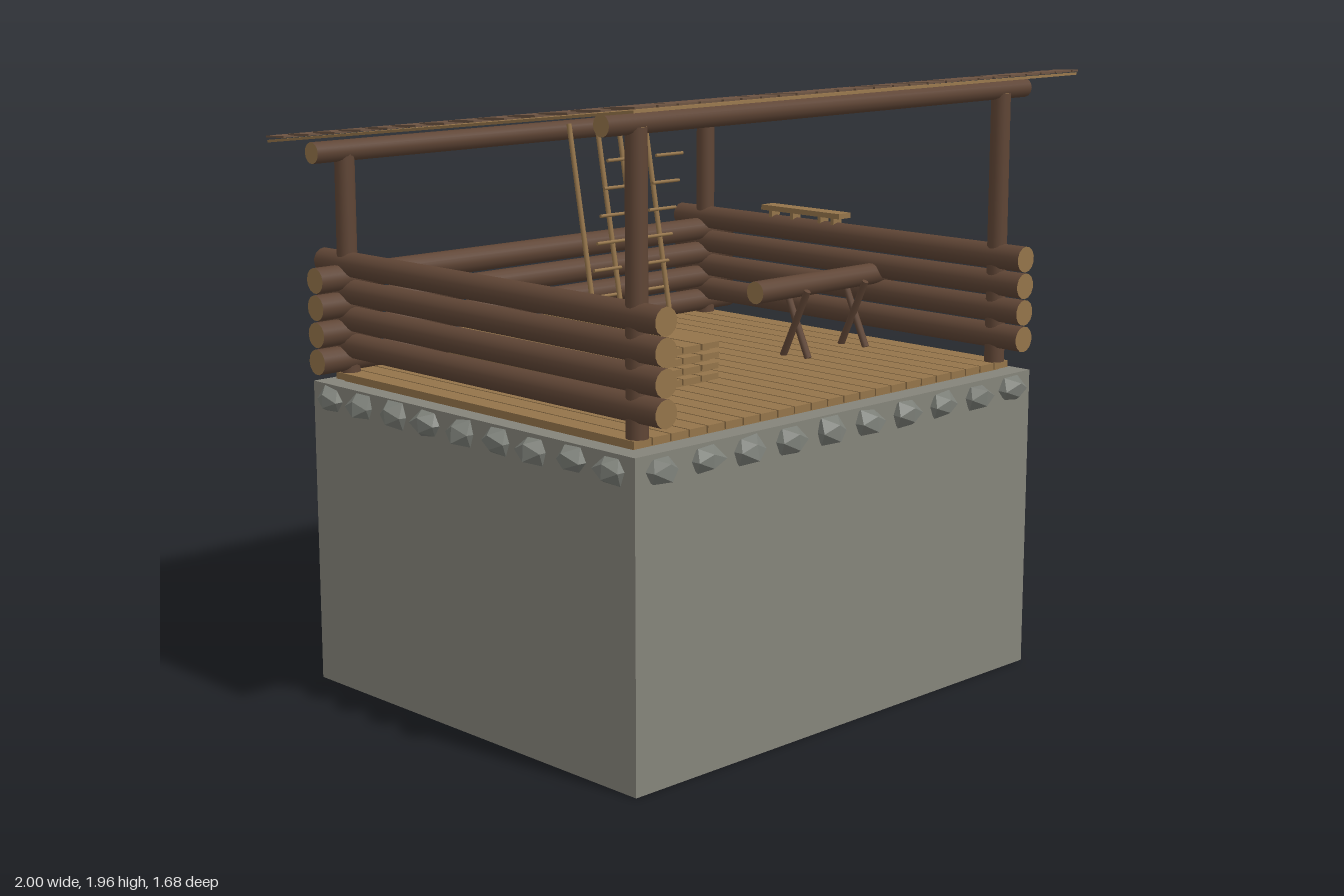
import * as THREE from 'three';

export function createModel() {
  const root = new THREE.Group();
  root.name = 'logShelter';
  const mat = (name, color, flat = false) => {
    const m = new THREE.MeshStandardMaterial({ color, flatShading: flat });
    m.name = name;
    return m;
  };
  const stone = mat('foundationStone', 0x85847a);
  const rock = mat('rockGrey', 0x7b7e77, true);
  const bark = mat('logBrown', 0x5f4535);
  const wood = mat('cutWood', 0x94744a);
  const shingleMat = mat('shingleBrown', 0x6c5341);

  let seed = 7;
  const rnd = () => (seed = (seed * 16807) % 2147483647) / 2147483647;
  const group = (name, parent = root) => {
    const g = new THREE.Group();
    g.name = name;
    parent.add(g);
    return g;
  };
  const box = (name, parent, m, size, pos) => {
    const b = new THREE.Mesh(new THREE.BoxGeometry(...size), m);
    b.name = name;
    b.position.set(...pos);
    parent.add(b);
    return b;
  };
  // Round pole between two points, with its own material on the cut ends
  const pole = (name, parent, a, b, r, side = bark, ends = wood, sides = 14) => {
    const p = new THREE.Vector3(...a), q = new THREE.Vector3(...b);
    const geo = new THREE.CylinderGeometry(r * 0.96, r, p.distanceTo(q), sides);
    const m = new THREE.Mesh(geo, [side, ends, ends]);
    m.name = name;
    m.position.copy(p).add(q).multiplyScalar(0.5);
    m.quaternion.setFromUnitVectors(new THREE.Vector3(0, 1, 0), q.sub(p).normalize());
    parent.add(m);
    return m;
  };

  // Foundation block
  box('foundation', root, stone, [1.77, 0.99, 1.49], [-0.03, 0.495, 0]);

  // Ring of rocks around the top of the foundation
  const rocks = group('rocks');
  const addRock = (x, z, turn) => {
    const geo = new THREE.IcosahedronGeometry(1, 0);
    const p = geo.attributes.position;
    const moved = {};
    for (let i = 0; i < p.count; i++) {
      const key = [p.getX(i), p.getY(i), p.getZ(i)].map(v => v.toFixed(2)).join();
      const s = moved[key] ??= 0.85 + rnd() * 0.3;
      p.setXYZ(i, p.getX(i) * s * 0.06, p.getY(i) * s * 0.045, p.getZ(i) * s * 0.05);
    }
    geo.computeVertexNormals();
    const m = new THREE.Mesh(geo, rock);
    m.name = 'rock';
    m.position.set(x, 0.942, z);
    m.rotation.y = turn;
    rocks.add(m);
  };
  for (const s of [-1, 1]) {
    for (let i = 0; i < 10; i++) addRock(-0.82 + i * 0.1745, s * 0.75, 0);
    for (let i = 0; i < 9; i++) addRock(-0.03 + s * 0.885, -0.65 + i * 0.1625, Math.PI / 2);
  }

  // Floor planks running front to back
  const floor = group('floor');
  for (let i = 0; i < 23; i++)
    box('floorPlank', floor, wood, [0.067, 0.022, 1.38], [-0.833 + i * 0.0731, 1.009, 0]);
  box('floorJoists', floor, wood, [1.64, 0.008, 1.34], [-0.03, 0.994, 0]);

  // Log walls on the two sides and the back
  const walls = group('walls');
  for (let i = 0; i < 4; i++) {
    const dy = i * 0.0865;
    pole('backLog', walls, [-0.955, 1.065 + dy, -0.668], [0.89, 1.065 + dy, -0.668], 0.041);
    for (const x of [-0.83, 0.77])
      pole('sideLog', walls, [x, 1.106 + dy, 0.782], [x, 1.106 + dy, -0.787], 0.042);
  }

  // Posts and roof beams
  const frame = group('frame');
  for (const x of [-0.83, 0.77]) {
    pole('frontPost', frame, [x, 1.02, 0.665], [x, 1.89, 0.665], 0.033);
    pole('backPost', frame, [x, 1.02, -0.665], [x, 1.72, -0.665], 0.033);
  }
  pole('frontBeam', frame, [-0.955, 1.9, 0.66], [0.895, 1.9, 0.66], 0.032);
  pole('backBeam', frame, [-0.955, 1.725, -0.665], [0.895, 1.725, -0.665], 0.034);

  // Sloped roof: a board deck with overlapping rows of shingles
  const roof = group('roof');
  roof.position.set(0, 1.858, 0);
  roof.rotation.x = -Math.atan2(0.2, 1.68);
  box('roofDeck', roof, wood, [1.935, 0.008, 1.68], [-0.0325, -0.006, 0]);
  const rows = 25, pitch = 0.0644;
  for (let r = 0; r < rows; r++) {
    const row = group('shingleRow', roof);
    const z = -0.7975 + r * pitch * 1.032;
    const end = rnd() < 0.35 ? 0.96 + rnd() * 0.04 : 0.935 + rnd() * 0.02;
    let x = r % 2 ? -0.962 : -1;
    while (x < end - 0.015) {
      const w = Math.min(0.062 + rnd() * 0.016, end - x);
      const s = box('shingle', row, shingleMat, [w, 0.006, 0.096], [x + w / 2, 0.006, z]);
      s.rotation.x = 0.06;
      x += w + 0.006 + rnd() * 0.005;
    }
  }

  // Stack of boards separated by thin cross strips
  const stack = group('boardStack');
  for (let l = 0; l < 4; l++) {
    const y = 1.05 + l * 0.033;
    for (let i = 0; i < 6; i++)
      box('stackedBoard', stack, wood, [0.072, 0.019, 0.74], [-0.583 + i * 0.08, y, -0.06]);
    for (const z of [-0.38, -0.06, 0.26])
      box('crossStrip', stack, wood, [0.47, 0.014, 0.02], [-0.383, y - 0.0165, z]);
  }

  // Log resting on two crossed-leg trestles
  const trestle = group('sawingTrestle');
  pole('restingLog', trestle, [0.165, 1.255, 0.165], [0.84, 1.255, 0.165], 0.037);
  for (const x of [0.36, 0.645])
    for (const s of [-1, 1])
      pole('trestleLeg', trestle, [x + s * 0.006, 1.02, 0.165 + s * 0.05],
        [x + s * 0.006, 1.245, 0.165 - s * 0.055], 0.012, bark, bark, 8);

  // Two ladders against the back beam
  for (const x of [0.14, 0.365]) {
    const ladder = group('ladder');
    for (const s of [-1, 1])
      pole('ladderRail', ladder, [x + s * 0.063, 1.03, -0.49], [x + s * 0.063, 1.75, -0.625],
        0.009, wood, wood, 8);
    for (let i = 0; i < 6; i++) {
      const y = 1.165 + i * 0.095, z = -0.435 - (1.64 - y) * 0.185;
      pole('ladderRung', ladder, [x - 0.063, y, z], [x + 0.063, y, z], 0.006, wood, wood, 8);
    }
  }

  // Narrow shelf on top of the right wall
  const shelf = group('wallShelf');
  box('shelfBoard', shelf, wood, [0.06, 0.018, 0.365], [0.768, 1.432, -0.173]);
  for (const z of [-0.32, -0.22, -0.09, -0.03])
    box('shelfPeg', shelf, wood, [0.04, 0.04, 0.014], [0.768, 1.405, z]);

  return root;
}
